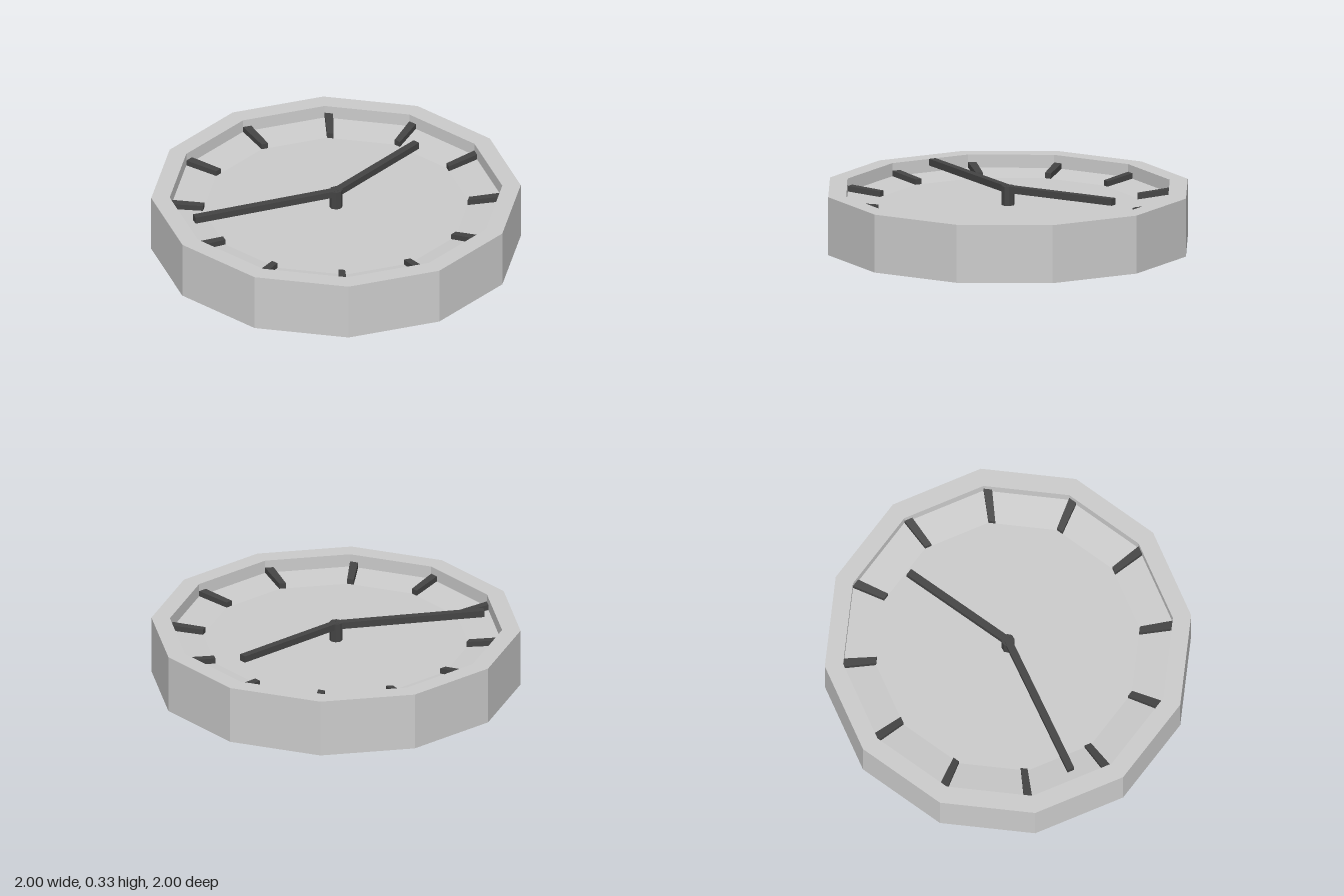
import * as THREE from 'three';

const SIDES = 12;
const STEP = (Math.PI * 2) / SIDES;
const RIM_R = 0.9, FLAT_R = 0.72;        // outer and inner radius of the sloped dial border
const RIM_Y = 0.248, FLAT_Y = 0.228;     // dial heights at those radii

const grey = new THREE.MeshStandardMaterial({ color: 0xcccccc, flatShading: true });
const dark = new THREE.MeshStandardMaterial({ color: 0x444444, flatShading: true });

function addMesh(parent, name, geometry, material) {
  const mesh = new THREE.Mesh(geometry, material);
  mesh.name = name;
  parent.add(mesh);
  return mesh;
}

// Twelve-sided lathe from [radius, height] pairs
function lathe(profile) {
  return new THREE.LatheGeometry(profile.map(([r, y]) => new THREE.Vector2(r, y)), SIDES);
}

// Hour mark: a box bent onto the sloped border, one side on a corner of the dial
function hourMarkGeometry() {
  const geometry = new THREE.BoxGeometry(1, 1, 1);
  const p = geometry.attributes.position;
  for (let i = 0; i < p.count; i++) {
    const outer = p.getZ(i) < 0;
    const r = outer ? RIM_R : FLAT_R;
    const along = p.getX(i) > 0 ? 0.1 : 0;   // share of the dial's side length
    const y = (outer ? RIM_Y : FLAT_Y) + (p.getY(i) > 0 ? 0.03 : 0);
    p.setXYZ(i, along * r * Math.sin(STEP), y, -r * (1 - along * (1 - Math.cos(STEP))));
  }
  geometry.computeVertexNormals();
  return geometry;
}

// Clock hand from the centre to (x, z)
function addHand(parent, name, x, z) {
  const length = Math.hypot(x, z);
  const geometry = new THREE.BoxGeometry(length, 0.037, 0.04);
  geometry.translate(length / 2, 0.3155, 0);
  addMesh(parent, name, geometry, dark).rotation.y = Math.atan2(-z, x);
}

export function createModel() {
  const clock = new THREE.Group();
  clock.name = 'wallClock';

  // Case ring
  addMesh(clock, 'caseRing', lathe([[RIM_R, 0], [1, 0], [1, 0.32], [RIM_R, 0.32], [RIM_R, 0]]), grey);

  // Dial with raised border, and the recessed back
  addMesh(clock, 'dial', lathe([[RIM_R, RIM_Y], [FLAT_R, FLAT_Y], [0, FLAT_Y]]), grey);
  addMesh(clock, 'backPlate', lathe([[0, 0.02], [RIM_R, 0.02]]), grey);

  // Hour marks
  const marks = new THREE.Group();
  marks.name = 'hourMarks';
  const markGeometry = hourMarkGeometry();
  for (let i = 0; i < SIDES; i++) {
    addMesh(marks, 'hourMark', markGeometry, dark).rotation.y = -i * STEP;
  }
  clock.add(marks);

  // Hands and the pin that carries them
  addHand(clock, 'hourHand', 0.467, -0.472);
  addHand(clock, 'minuteHand', -0.782, 0.227);
  const pin = new THREE.CylinderGeometry(0.036, 0.036, 0.105, 8);
  addMesh(clock, 'centrePin', pin, dark).position.y = 0.2805;

  return clock;
}
